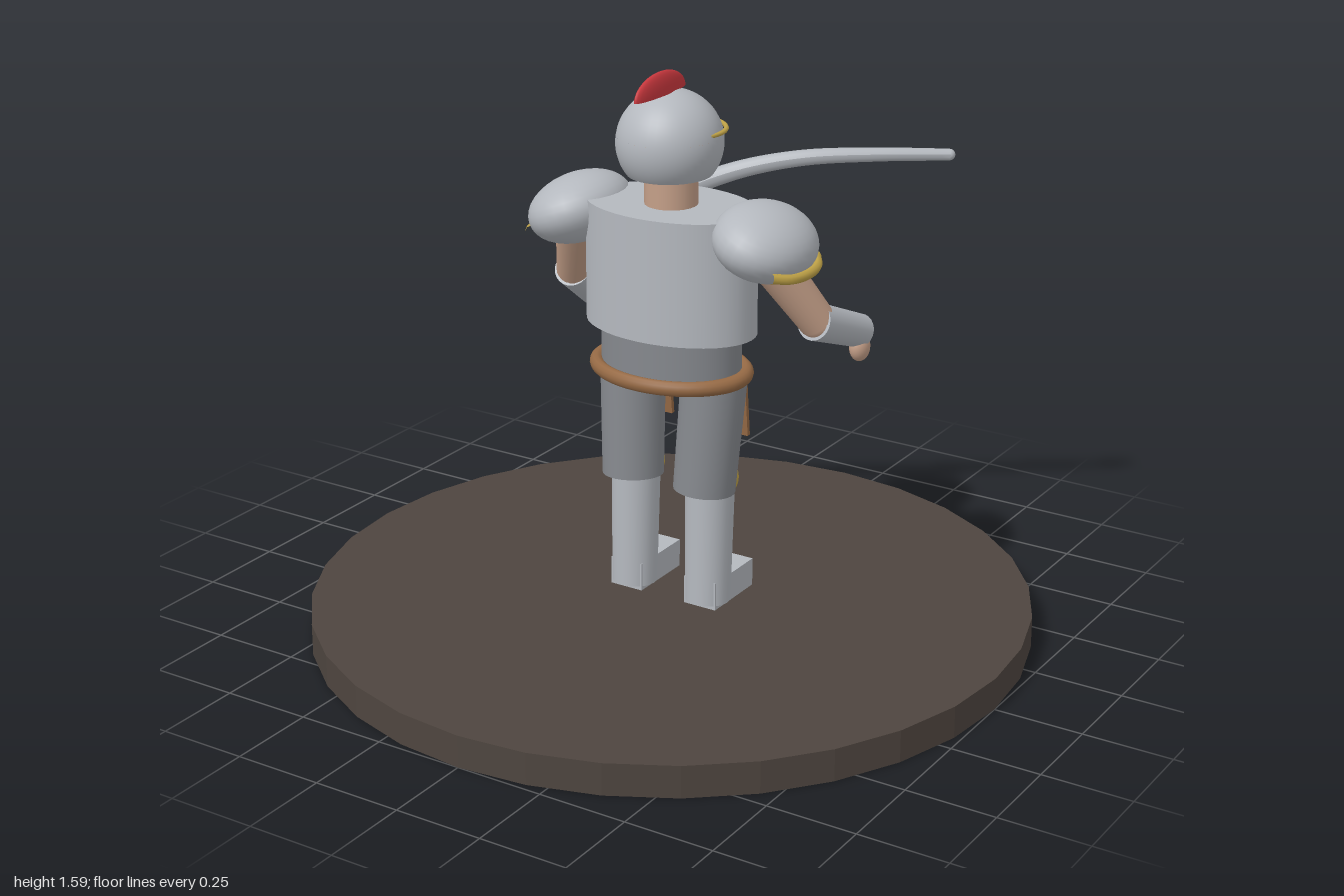
import * as THREE from 'three';

const mat = (name, color, double) => {
  const m = new THREE.MeshStandardMaterial({ color });
  m.name = name;
  if (double) m.side = THREE.DoubleSide;
  return m;
};
const V = (x, y, z) => new THREE.Vector3(x, y, z);

export function createModel() {
  const model = new THREE.Group();
  model.name = 'armouredSwordsman';
  const steel = mat('steel', 0xb4b8be, true);
  const darkSteel = mat('darkSteel', 0x85888d);
  const skin = mat('skin', 0xc49f88);
  const leather = mat('leather', 0x966a45);
  const gold = mat('gold', 0xbfa247);
  const red = mat('red', 0xc8373d, true);
  const hair = mat('darkHair', 0x3a2a20);
  const stone = mat('darkStone', 0x4e453f);

  const add = (name, geo, material, pos = [0, 0, 0], scale = [1, 1, 1], rot = [0, 0, 0]) => {
    const mesh = new THREE.Mesh(geo, material);
    mesh.name = name;
    mesh.position.set(...pos);
    mesh.scale.set(...scale);
    mesh.rotation.set(...rot);
    model.add(mesh);
    return mesh;
  };
  const ball = (name, material, pos, radii, rot) =>
    add(name, new THREE.SphereGeometry(1, 28, 18), material, pos, radii, rot);
  // Tapered round limb from a to b
  const limb = (name, material, a, b, ra, rb) => {
    const dir = b.clone().sub(a);
    const mesh = add(name, new THREE.CylinderGeometry(rb, ra, dir.length(), 24), material,
      a.clone().add(b).multiplyScalar(0.5).toArray());
    mesh.quaternion.setFromUnitVectors(V(0, 1, 0), dir.normalize());
    return mesh;
  };

  // Round base
  const base = new THREE.CylinderGeometry(1, 1, 0.09, 32).toNonIndexed();
  base.computeVertexNormals();
  add('base', base, stone, [0, 0.045, 0]);

  // Torso
  add('breastplate', new THREE.CylinderGeometry(1, 1, 0.34, 40), steel, [0, 1.05, 0], [0.25, 1, 0.168]);
  add('waist', new THREE.CylinderGeometry(1, 1, 0.15, 40), darkSteel, [0, 0.815, 0], [0.205, 1, 0.146]);
  add('chestEmblem', new THREE.CylinderGeometry(1, 1, 0.009, 28), gold,
    [0, 1.1, -0.17], [0.055, 1, 0.06], [Math.PI / 2, 0, 0]);
  add('belt', new THREE.TorusGeometry(1, 0.1, 12, 48), leather,
    [0, 0.76, 0], [0.215, 0.165, 0.21], [Math.PI / 2, 0, 0]);
  add('buckle', new THREE.BoxGeometry(0.08, 0.045, 0.012), gold, [0, 0.76, -0.183]);

  // Hanging skirt straps, alternating leather and steel
  for (let i = 0; i < 6; i++) {
    const x = -0.165 + i * 0.066;
    const z = -0.155 * Math.sqrt(1 - (x / 0.23) ** 2) + 0.012;
    add('skirtStrap', new THREE.BoxGeometry(0.036, 0.19, 0.012), i % 2 ? leather : steel,
      [x, 0.655, z], [1, 1, 1], [0.1, 0, 0]);
  }

  // Neck, face and beard
  limb('neck', skin, V(0, 1.2, 0), V(0, 1.33, 0), 0.072, 0.072);
  ball('face', skin, [0, 1.378, -0.012], [0.112, 0.115, 0.11]);
  ball('nose', skin, [0, 1.375, -0.122], [0.014, 0.026, 0.02]);
  ball('beard', hair, [0, 1.3, -0.07], [0.062, 0.035, 0.045]);
  for (const s of [-1, 1]) {
    ball('moustache', hair, [s * 0.024, 1.345, -0.114], [0.027, 0.009, 0.012], [0, 0, -s * 0.3]);
    ball('eye', hair, [s * 0.037, 1.397, -0.113], [0.012, 0.008, 0.006]);
  }

  // Helmet: full dome above, cheek guards open at the face
  const top = 1.42, gap = 0.72;
  const hScale = [0.142, 0.142, 0.148], hPos = [0, 1.39, 0.007];
  add('helmetDome', new THREE.SphereGeometry(1, 40, 14, 0, Math.PI * 2, 0, top), steel, hPos, hScale);
  add('helmetGuard', new THREE.SphereGeometry(1, 36, 10, Math.PI * 1.5 + gap, Math.PI * 2 - 2 * gap,
    top, 2.21 - top), steel, hPos, hScale);
  add('helmetBand', new THREE.TorusGeometry(1, 0.05, 8, 48), gold,
    [0, 1.425, -0.02], [0.138, 0.122, 0.12], [Math.PI / 2, 0, 0]);

  // Crest: upper half of a thin ellipsoid along the helmet's middle
  add('crest', new THREE.SphereGeometry(1, 24, 12, 0, Math.PI * 2, 0, Math.PI / 2), red,
    [0, 1.528, 0.055], [0.02, 0.06, 0.12]);

  // Mirrored shoulders and legs
  for (const s of [-1, 1]) {
    ball('shoulderPlate', steel, [s * 0.29, 1.163, 0], [0.135, 0.095, 0.166], [0, 0, -s * 0.36]);
    const trim = new THREE.TubeGeometry(new THREE.CatmullRomCurve3([
      V(s * 0.376, 1.108, 0.115), V(s * 0.407, 1.098, 0.065), V(s * 0.416, 1.095, 0),
      V(s * 0.407, 1.098, -0.065), V(s * 0.376, 1.108, -0.115)]), 20, 0.014, 8);
    add('shoulderTrim', trim, gold);

    limb('thigh', darkSteel, V(s * 0.115, 0.43, 0.015), V(s * 0.13, 0.75, -0.01), 0.085, 0.09);
    limb('shin', steel, V(s * 0.12, 0.1, 0.002), V(s * 0.12, 0.45, -0.008), 0.063, 0.068);
    ball('kneeCap', gold, [s * 0.12, 0.435, -0.083], [0.042, 0.053, 0.032]);
    add('foot', new THREE.BoxGeometry(0.1, 0.08, 0.2), steel, [s * 0.12, 0.13, -0.055]);
  }

  // Arms: shoulder, elbow, wrist, hand
  const arms = [
    [V(0.3, 1.12, 0), V(0.395, 0.93, -0.1), V(0.42, 0.855, -0.285), V(0.43, 0.815, -0.27)],
    [V(-0.3, 1.12, 0), V(-0.375, 0.94, -0.09), V(-0.405, 0.835, -0.235), V(-0.41, 0.82, -0.255)],
  ];
  for (const [shoulder, elbow, wrist, hand] of arms) {
    limb('upperArm', skin, shoulder, elbow, 0.06, 0.05);
    ball('elbow', skin, elbow.toArray(), [0.048, 0.048, 0.048]);
    limb('forearmGuard', steel, elbow.clone().lerp(wrist, -0.1), wrist, 0.052, 0.046);
    ball('hand', skin, hand.toArray(), [0.027, 0.04, 0.034]);
  }

  // Sword hilt
  limb('grip', gold, V(-0.37, 0.78, -0.2), V(-0.44, 0.885, -0.32), 0.014, 0.014);
  ball('pommel', gold, [-0.375, 0.785, -0.21], [0.022, 0.022, 0.03]);
  limb('crossGuard', gold, V(-0.47, 0.87, -0.335), V(-0.375, 0.825, -0.26), 0.012, 0.012);
  limb('handGuard', gold, V(-0.465, 0.865, -0.32), V(-0.365, 0.765, -0.25), 0.011, 0.011);

  // Curved blade: a tube whose rings shrink toward the tip
  const path = new THREE.CatmullRomCurve3([
    V(-0.45, 0.89, -0.32), V(-0.3, 1.03, -0.305), V(-0.17, 1.14, -0.322), V(-0.03, 1.21, -0.37),
    V(0.13, 1.25, -0.46), V(0.3, 1.257, -0.58), V(0.46, 1.25, -0.71)]);
  const rings = 48, sides = 12;
  const blade = new THREE.TubeGeometry(path, rings, 0.033, sides);
  const p = blade.attributes.position, v = V(0, 0, 0);
  for (let i = 0; i < p.count; i++) {
    const t = Math.floor(i / (sides + 1)) / rings;
    const c = path.getPointAt(t);
    v.fromBufferAttribute(p, i).sub(c).multiplyScalar(1 - 0.5 * t).add(c);
    p.setXYZ(i, v.x, v.y, v.z);
  }
  blade.computeVertexNormals();
  add('blade', blade, steel);
  ball('bladeTip', steel, [0.46, 1.25, -0.71], [0.016, 0.016, 0.016]);

  return model;
}
